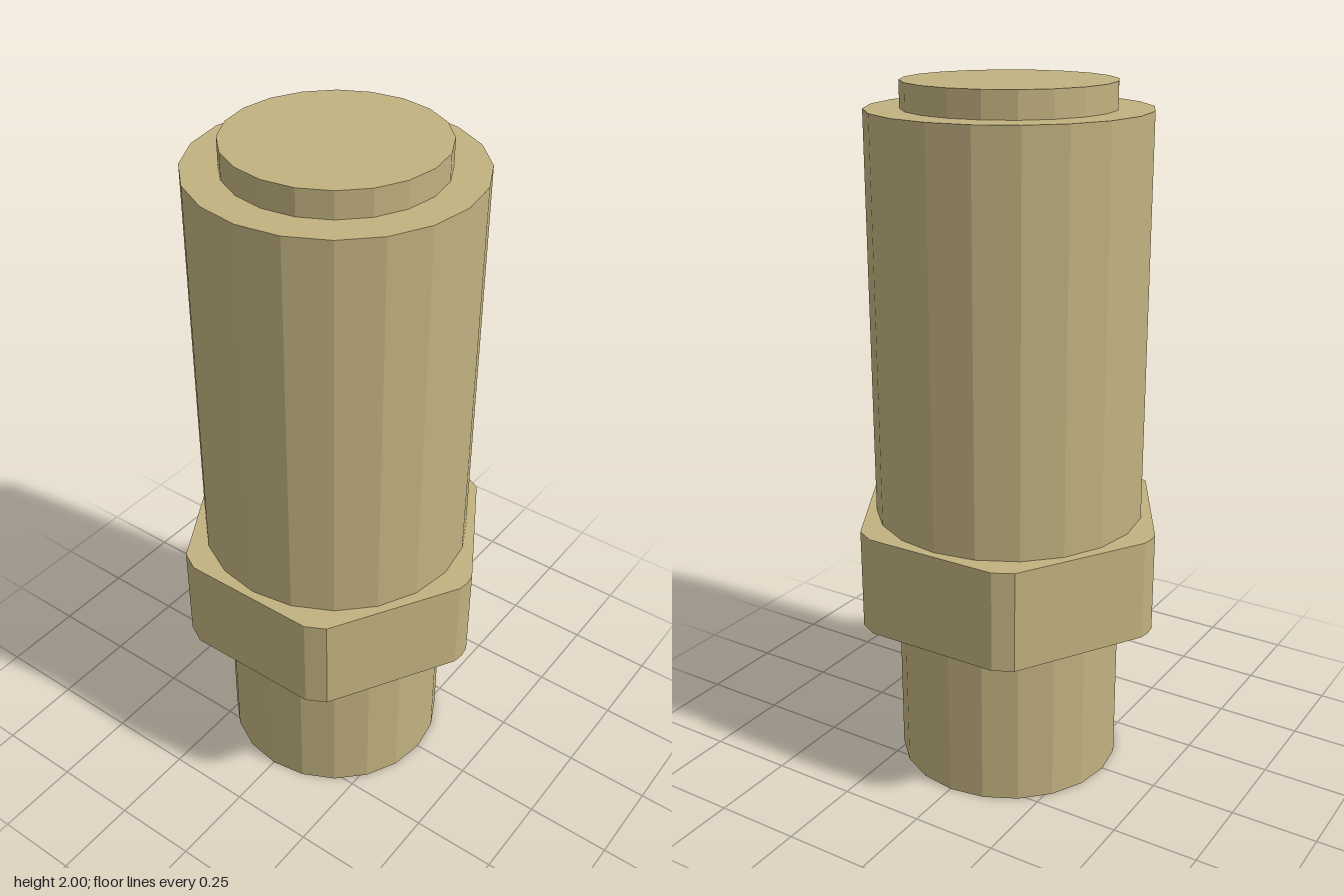
import * as THREE from 'three';

export function createModel() {
  const model = new THREE.Group();
  const sand = new THREE.MeshStandardMaterial({ color: 0xc2b280, flatShading: true });
  sand.name = 'sand';

  const add = (name, geometry, y) => {
    const mesh = new THREE.Mesh(geometry, sand);
    mesh.name = name;
    mesh.position.y = y;
    model.add(mesh);
  };

  // Stacked twenty-sided cylinders: [name, radius, bottom, top]
  const sections = [
    ['lowerShank', 0.329, 0, 0.495],
    ['upperBarrel', 0.388, 0.786, 1.927],
    ['endCap', 0.291, 1.927, 2],
  ];
  for (const [name, r, y0, y1] of sections) {
    add(name, new THREE.CylinderGeometry(r, r, y1 - y0, 20), (y0 + y1) / 2);
  }

  // Hexagonal collar with trimmed corners, one quarter mirrored around
  const quarter = [[0.462, 0], [0.458, 0.031], [0.254, 0.383], [0.199, 0.412]];
  const outline = [
    ...quarter,
    ...quarter.slice().reverse().map(([x, z]) => [-x, z]),
    ...quarter.slice(1).map(([x, z]) => [-x, -z]),
    ...quarter.slice(1).reverse().map(([x, z]) => [x, -z]),
  ].map(([x, z]) => new THREE.Vector2(x, z));
  const collar = new THREE.ExtrudeGeometry(new THREE.Shape(outline), { depth: 0.291, bevelEnabled: false });
  collar.rotateX(-Math.PI / 2);
  add('hexCollar', collar, 0.495);

  return model;
}
